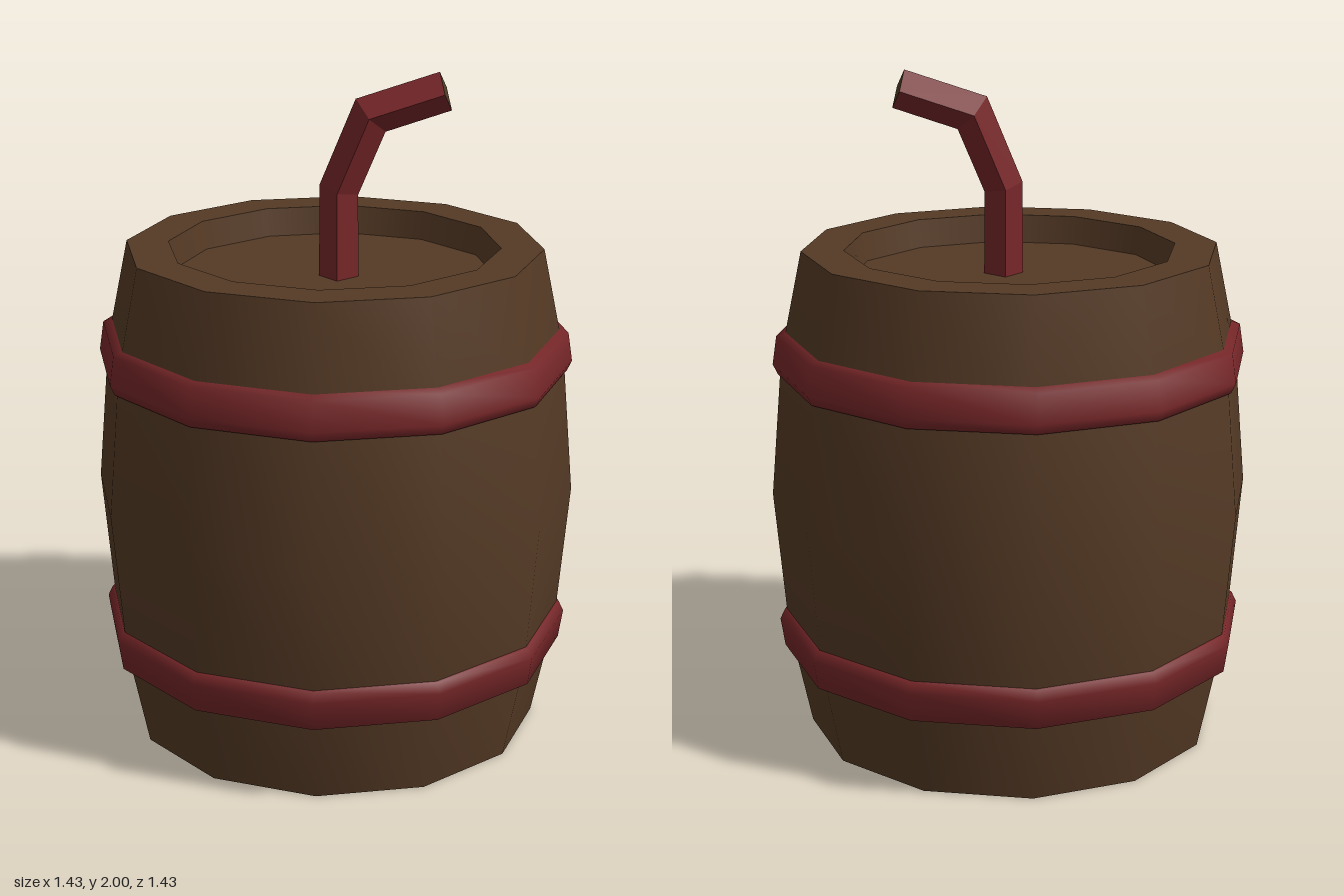
import * as THREE from 'three';
import { mergeGeometries } from 'three/addons/utils/BufferGeometryUtils.js';

const SIDES = 12;
const HEIGHT = 1.48;

// One lathe per profile section, so that edges between sections stay sharp
function lathe(sections) {
  return mergeGeometries(sections.map((points) =>
    new THREE.LatheGeometry(points.map(([r, y]) => new THREE.Vector2(r, y)), SIDES)));
}

function named(name, geometry, material) {
  const mesh = new THREE.Mesh(geometry, material);
  mesh.name = name;
  return mesh;
}

function facesToGeometry(triangles) {
  const geometry = new THREE.BufferGeometry().setFromPoints(triangles);
  geometry.computeVertexNormals();
  return geometry;
}

export function createModel() {
  const model = new THREE.Group();
  model.name = 'barrel';

  const wood = new THREE.MeshStandardMaterial({ color: 0x553a25 });
  wood.name = 'brown wood';
  const red = new THREE.MeshStandardMaterial({ color: 0x762628 });
  red.name = 'dark red';
  const tip = new THREE.MeshStandardMaterial({ color: 0x4d3d25 });
  tip.name = 'olive brown';

  // Bulging staves
  model.add(named('staves', lathe([
    [[0.615, 0], [0.68, 0.31], [0.717, 0.74], [0.68, HEIGHT - 0.31], [0.615, HEIGHT]],
  ]), wood));

  // Rims and recessed lids at both ends
  const depth = 0.085;
  model.add(named('topLid', lathe([
    [[0.615, HEIGHT], [0.49, HEIGHT]],
    [[0.49, HEIGHT], [0.475, HEIGHT - depth]],
    [[0.475, HEIGHT - depth], [0, HEIGHT - depth]],
  ]), wood));
  model.add(named('bottomLid', lathe([
    [[0, depth], [0.46, depth]],
    [[0.46, depth], [0.48, 0]],
    [[0.48, 0], [0.615, 0]],
  ]), wood));

  // Two hoops, the upper one mirrored
  const hoop = [[0.655, 0.238], [0.693, 0.252], [0.706, 0.338], [0.692, 0.368], [0.675, 0.372]];
  const upperHoop = hoop.map(([r, y]) => [r, HEIGHT - y]).reverse();
  model.add(named('lowerHoop', lathe([hoop]), red));
  model.add(named('upperHoop', lathe([upperHoop]), red));

  // Bent fuse with a diamond cross-section: centre x, y and half width x, y
  const half = 0.06;
  const z = 0.033;
  const rings = [
    [0.017, 1.385, 0.058, 0],
    [0.017, 1.653, 0.056, -0.014],
    [0.108, 1.872, 0.043, -0.047],
    [0.322, 1.945, 0.018, -0.055],
  ].map(([x, y, dx, dy]) => [
    new THREE.Vector3(x + dx, y + dy, z),
    new THREE.Vector3(x, y, z + half),
    new THREE.Vector3(x - dx, y - dy, z),
    new THREE.Vector3(x, y, z - half),
  ]);
  const sides = [];
  for (let i = 0; i < rings.length - 1; i++) {
    for (let k = 0; k < 4; k++) {
      const n = (k + 1) % 4;
      const [a, b, c, d] = [rings[i][k], rings[i][n], rings[i + 1][n], rings[i + 1][k]];
      sides.push(a, c, b, a, d, c);
    }
  }
  const end = rings[rings.length - 1];
  const fuse = new THREE.Group();
  fuse.name = 'fuse';
  fuse.add(named('fuseCord', facesToGeometry(sides), red));
  fuse.add(named('fuseTip', facesToGeometry([0, 2, 1, 0, 3, 2].map((k) => end[k])), tip));
  model.add(fuse);

  return model;
}
